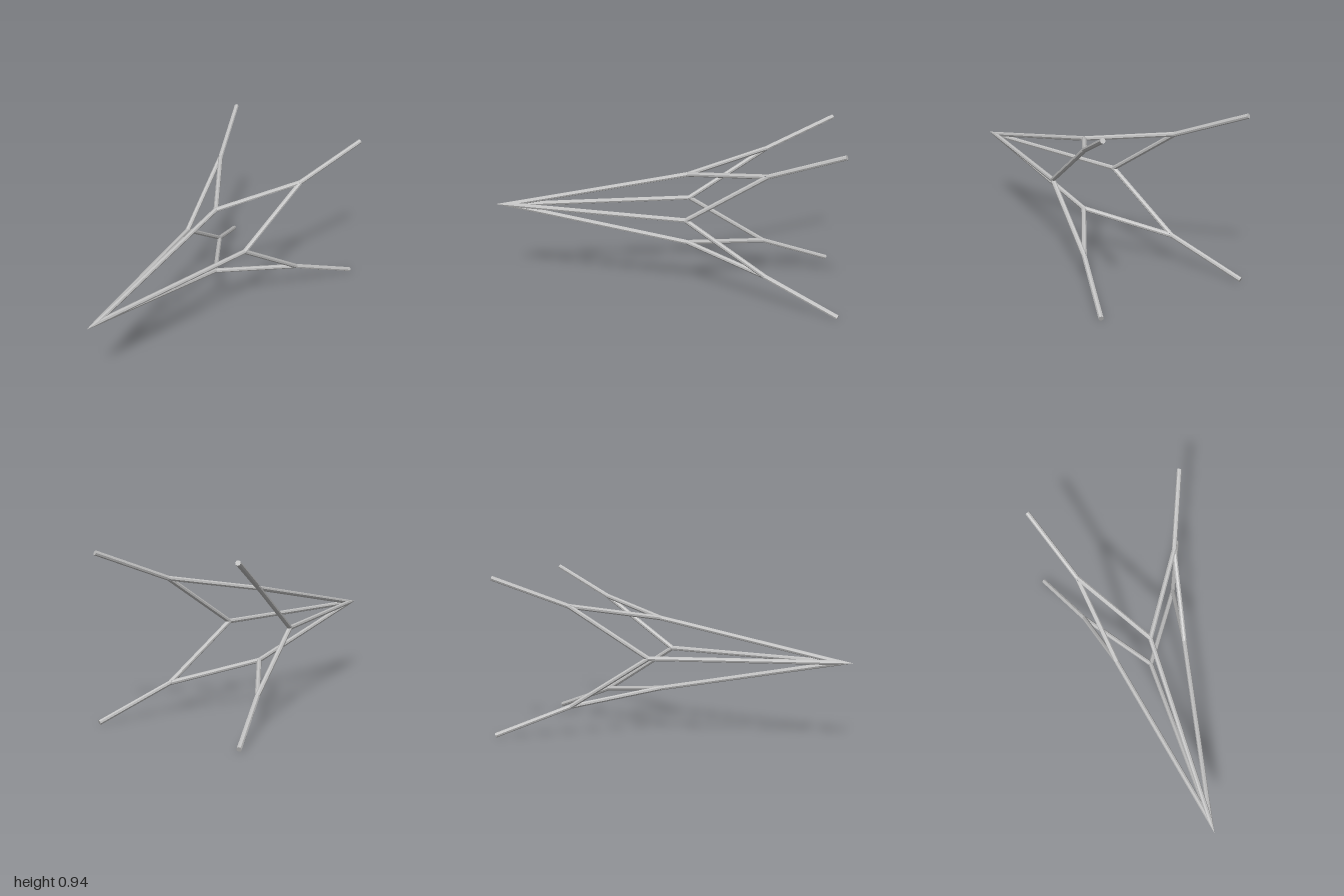
import * as THREE from 'three';

const RADIUS = 0.0138, SIDES = 8, CENTRE_Y = 0.472;

export function createModel() {
  const model = new THREE.Group();
  model.name = 'strutFrame';
  const steel = new THREE.MeshStandardMaterial({ color: 0xc0c0c0, flatShading: true });
  steel.name = 'light grey metal';

  // Joints: nose tip, four inner joints on the axes, four outer joints and four free ends on the diagonals
  const nodes = [new THREE.Vector3(0, CENTRE_Y, 0.932)];
  const ring = (radius, z, turn) => {
    for (let i = 0; i < 4; i++) {
      const a = (i + turn) * Math.PI / 2;
      nodes.push(new THREE.Vector3(radius * Math.cos(a), CENTRE_Y + radius * Math.sin(a), z));
    }
  };
  ring(0.21, -0.136, 0);
  ring(0.294 * Math.SQRT2, -0.59, 0.5);
  ring(0.458 * Math.SQRT2, -0.993, 0.5);

  // Rods as pairs of joints
  const rods = [];
  for (let i = 0; i < 4; i++) {
    rods.push(['noseRod', 0, 1 + i]);
    rods.push(['braceRod', 1 + i, 5 + i]);
    rods.push(['braceRod', 1 + (i + 1) % 4, 5 + i]);
    rods.push(['tailRod', 5 + i, 9 + i]);
  }
  const direction = (a, b) => nodes[b].clone().sub(nodes[a]).normalize();

  // Distance along a rod at which it meets the mitre planes of its neighbours
  const mitre = (from, to, offset) => {
    const d = direction(from, to);
    let s = -Infinity;
    for (const [, a, b] of rods) {
      if (a !== from && b !== from) continue;
      const other = a === from ? b : a;
      if (other === to) continue;
      const e = direction(from, other);
      s = Math.max(s, offset.dot(e) / (1 - d.dot(e)));
    }
    return s === -Infinity ? 0 : s;
  };

  // Eight-sided rod with mitred joints and a cap at a free end
  const rodGeometry = (from, to) => {
    const d = direction(from, to);
    const u = new THREE.Vector3().crossVectors(d, new THREE.Vector3(0, 0, 1)).normalize();
    const v = new THREE.Vector3().crossVectors(d, u);
    const points = [], index = [];
    for (let k = 0; k < SIDES; k++) {
      const a = k / SIDES * Math.PI * 2;
      const o = u.clone().multiplyScalar(Math.cos(a) * RADIUS).addScaledVector(v, Math.sin(a) * RADIUS);
      points.push(nodes[from].clone().add(o).addScaledVector(d, mitre(from, to, o)));
      points.push(nodes[to].clone().add(o).addScaledVector(d, -mitre(to, from, o)));
      const p = 2 * k, q = 2 * ((k + 1) % SIDES);
      index.push(p, q, q + 1, p, q + 1, p + 1);
      if (to >= 9) index.push(2 * SIDES, p + 1, q + 1);
    }
    points.push(nodes[to]);
    const indexed = new THREE.BufferGeometry().setFromPoints(points);
    indexed.setIndex(index);
    const geometry = indexed.toNonIndexed();
    geometry.computeVertexNormals();
    return geometry;
  };

  rods.forEach(([name, a, b], i) => {
    const mesh = new THREE.Mesh(rodGeometry(a, b), steel);
    mesh.name = name + (Math.floor(i / 4) + 1) + (name === 'braceRod' ? (i % 4 === 1 ? 'A' : 'B') : '');
    model.add(mesh);
  });

  // Small cores that close the pinholes where three rods meet
  const core = new THREE.IcosahedronGeometry(RADIUS * 0.93, 1);
  for (let i = 1; i <= 8; i++) {
    const mesh = new THREE.Mesh(core, steel);
    mesh.position.copy(nodes[i]);
    mesh.name = 'jointCore' + i;
    model.add(mesh);
  }
  return model;
}
